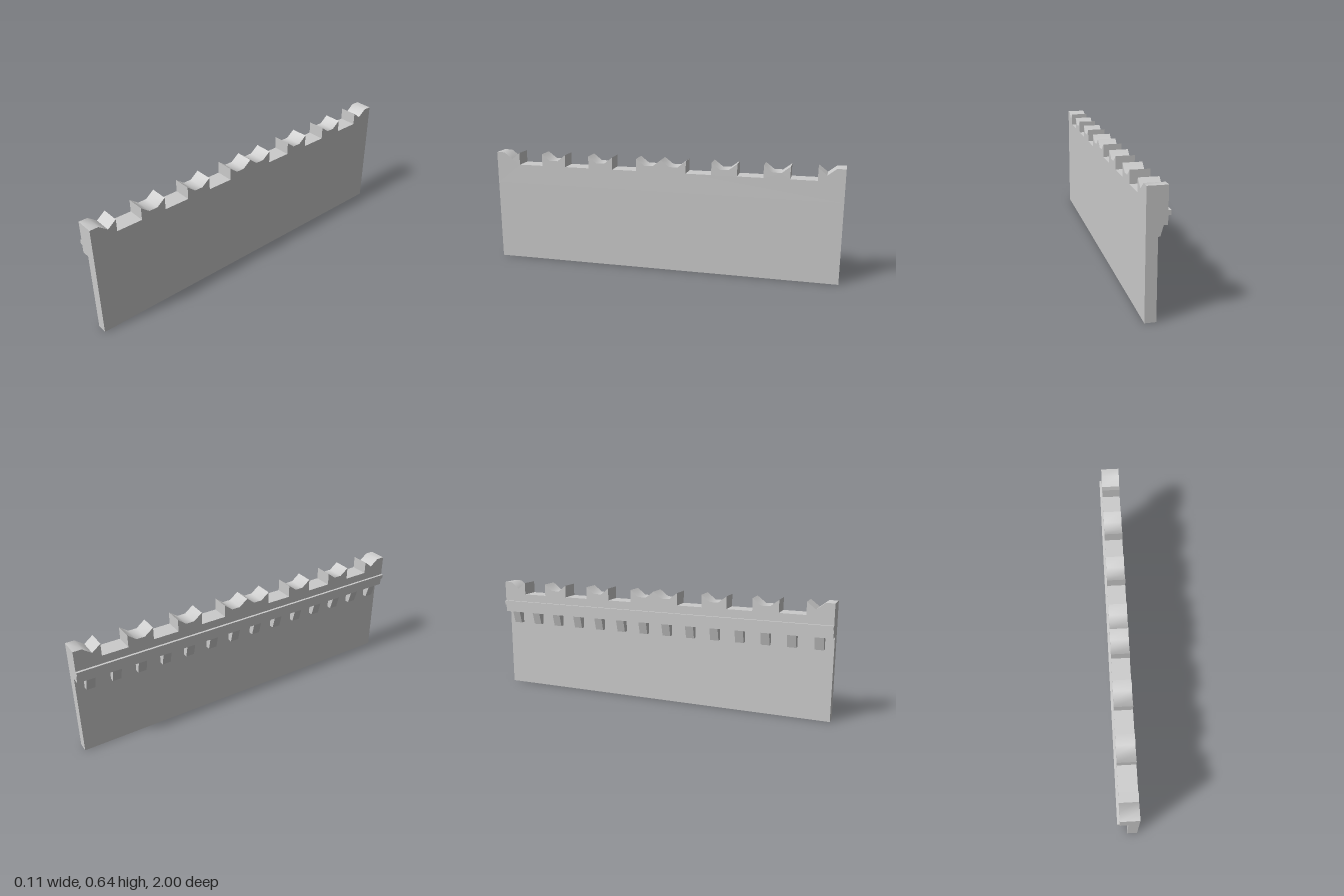
import * as THREE from 'three';
import { toCreasedNormals } from 'three/addons/utils/BufferGeometryUtils.js';

const U = 1 / 21;                       // module of the wall along z
const FRONT = 0.056, LEDGE = -0.044, BAND = -0.057;
const LEDGE_Y = 0.459, CRENEL = 0.572, VALLEY = 0.604, PEAK = 0.641;

export function createModel() {
  const group = new THREE.Group();
  const material = new THREE.MeshStandardMaterial({ color: 0xcccccc });

  const add = (name, geometry, parent = group) => {
    const mesh = new THREE.Mesh(geometry, material);
    mesh.name = name;
    parent.add(mesh);
    return mesh;
  };
  // Box running the full length, given by its x and y limits
  const bar = (name, x0, x1, y0, y1) =>
    add(name, new THREE.BoxGeometry(x1 - x0, y1 - y0, 2))
      .position.set((x0 + x1) / 2, (y0 + y1) / 2, 0);

  // Thin lower wall
  bar('lowerWall', 0, FRONT, 0, LEDGE_Y);

  // Thick parapet: outline of one half in [z / U, y], then mirrored
  const half = [[0, PEAK], [1, VALLEY], [2, VALLEY], [3, PEAK], [3, CRENEL]];
  for (const z of [6, 12]) {            // notched merlons between crenels
    half.push([z, CRENEL], [z, PEAK], [z + 1, VALLEY], [z + 2, VALLEY],
      [z + 3, PEAK], [z + 3, CRENEL]);
  }
  half.push([18, CRENEL], [18, PEAK], [19, VALLEY], [20, PEAK], [21, PEAK], [21, LEDGE_Y]);
  const mirrored = half.slice(1).reverse().map(([z, y]) => [-z, y]);
  const outline = [...mirrored, ...half].map(([z, y]) => new THREE.Vector2(z * U, y));
  const parapetGeometry = new THREE.ExtrudeGeometry(new THREE.Shape(outline),
    { depth: FRONT - LEDGE, bevelEnabled: false });
  parapetGeometry.rotateY(-Math.PI / 2).translate(FRONT, 0, 0);
  add('parapet', toCreasedNormals(parapetGeometry, 1.3));

  // Narrow moulding along the overhanging side
  bar('moulding', BAND, LEDGE, 0.503, 0.527);

  // Row of tapered corbels under the overhang
  const corbels = new THREE.Group();
  corbels.name = 'corbels';
  group.add(corbels);
  const corbelShape = new THREE.Shape([[0, LEDGE_Y], [LEDGE, LEDGE_Y], [-0.025, 0.39], [0, 0.39]]
    .map(([x, y]) => new THREE.Vector2(x, y)));
  const corbelGeometry = new THREE.ExtrudeGeometry(corbelShape, { depth: U, bevelEnabled: false });
  for (let i = 0; i < 14; i++) {
    add('corbel', corbelGeometry, corbels).position.z = -1 + (3 * i + 1) * U;
  }

  return group;
}
